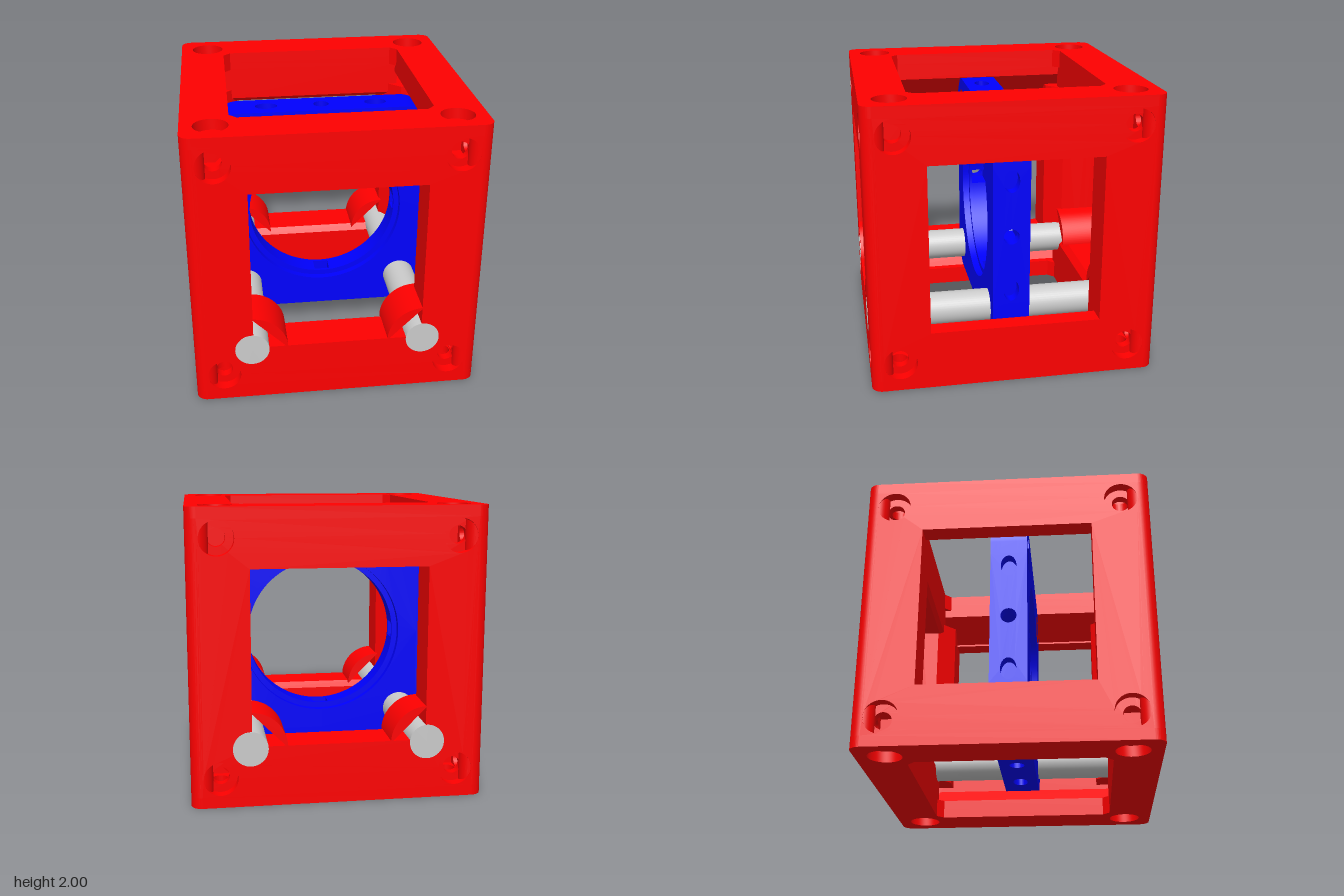
import * as THREE from 'three';
import { toCreasedNormals } from 'three/addons/utils/BufferGeometryUtils.js';

const H = Math.PI / 2;
const red = new THREE.MeshStandardMaterial({ color: 0xff0000 });
const blue = new THREE.MeshStandardMaterial({ color: 0x0000ff });
const grey = new THREE.MeshStandardMaterial({ color: 0xcccccc });

const poly = pts => new THREE.Shape(pts.map(p => new THREE.Vector2(...p)));

function ellipseHole(x, y, rx, ry = rx) {
  const p = new THREE.Path();
  p.absellipse(x, y, rx, ry, 0, Math.PI * 2, true);
  return p;
}

// Extrudes a shape from z0 to z1
function slab(shape, z0, z1) {
  const g = new THREE.ExtrudeGeometry(shape, { depth: z1 - z0, bevelEnabled: false, curveSegments: 32 });
  g.translate(0, 0, z0);
  return toCreasedNormals(g, 0.5);
}

function add(parent, name, geometry, material) {
  const m = new THREE.Mesh(geometry, material);
  m.name = name;
  parent.add(m);
  return m;
}

function roundedSquare(h, r) {
  const s = new THREE.Shape();
  const c = h - r;
  s.absarc(c, c, r, 0, H);
  s.absarc(-c, c, r, H, 2 * H);
  s.absarc(-c, -c, r, 2 * H, 3 * H);
  s.absarc(c, -c, r, 3 * H, 4 * H);
  return s;
}

// One cube face: outer layer with counterbores, inner layer with bolt holes
function facePanel(parent, name, outline, windowPts) {
  const panel = new THREE.Group();
  panel.name = name;
  for (const [part, shape, r, z0, z1] of [
    ['counterboreLayer', outline, 0.115, 0.925, 1],
    ['boltHoleLayer', poly([[-0.925, -0.925], [0.925, -0.925], [0.925, 0.925], [-0.925, 0.925]]), 0.06, 0.865, 0.925]]) {
    shape.holes.push(poly(windowPts));
    for (const x of [-0.8, 0.8]) for (const y of [-0.8, 0.8]) shape.holes.push(ellipseHole(x, y, r));
    add(panel, part, slab(shape, z0, z1), red);
  }
  parent.add(panel);
  return panel;
}

function buildFrame(parent) {
  const frame = new THREE.Group();
  frame.name = 'frame';
  parent.add(frame);

  // Four upright faces
  const sideWindow = [[-0.59, -0.585], [0.59, -0.585], [0.59, 0.6], [-0.59, 0.6]];
  ['frontPanel', 'leftPanel', 'backPanel', 'rightPanel'].forEach((name, i) => {
    const square = poly([[-0.925, -0.925], [0.925, -0.925], [0.925, 0.925], [-0.925, 0.925]]);
    facePanel(frame, name, square, sideWindow).rotation.y = i * H;
  });

  // Top and bottom faces with an octagonal opening
  const a = 0.68, b = 0.63;
  const octagon = [[a, -b], [a, b], [b, a], [-b, a], [-a, b], [-a, -b], [-b, -a], [b, -a]];
  facePanel(frame, 'topPanel', roundedSquare(1, 0.075), octagon).rotation.x = -H;
  facePanel(frame, 'bottomPanel', roundedSquare(1, 0.075), octagon).rotation.x = H;

  for (const s of [-1, 1]) for (const t of [-1, 1]) {
    const prism = pts => slab(poly(pts.map(([u, v]) => [u * s, v * t])), -0.7, 0.7);
    // Rounded upright edges and chamfered pillar cores
    add(frame, 'roundedEdge', new THREE.CylinderGeometry(0.075, 0.075, 1.85, 32, 1, true), red)
      .position.set(s * 0.925, 0, t * 0.925);
    add(frame, 'pillarCore', prism([[0.87, 0.87], [0.59, 0.87], [0.59, 0.72], [0.72, 0.59], [0.87, 0.59]]), red)
      .rotation.x = -H;
    // Rails across the front and back
    const w = t > 0 ? 0.6 : 0.585;
    add(frame, 'crossRailCore', prism([[0.87, 0.87], [0.68, 0.87], [0.68, 1.31 - 0.68], [1.31 - w, w], [0.87, w]]), red)
      .rotation.y = H;
    // Rails along the sides, cut back to clear the plate
    const k = t > 0 ? 1.48 : 1.6;
    const m = Math.max(0.68, k - 0.87);
    add(frame, 'sideRailCore', prism([[0.87, 0.87], [m, 0.87], [m, k - m], [0.87, k - 0.87]]), red);
    // Quarter-round rod bosses in the lower window corners
    const boss = new THREE.Shape();
    boss.moveTo(-s * 0.6, -0.6);
    boss.absarc(-s * 0.6, -0.6, 0.25, s > 0 ? 0 : H, s > 0 ? H : 2 * H);
    add(frame, 'rodBoss', slab(boss, t > 0 ? 0.68 : -1, t > 0 ? 1 : -0.68), red);
  }
}

// Quarter of the plate, with optional half slots for the cross bores
function plateQuarter(r, slot) {
  const a = Math.asin(slot / r);
  const s = new THREE.Shape();
  s.absarc(0, 0, r, a, H - a);
  s.lineTo(slot, 0.73);
  s.lineTo(0.5, 0.73);
  s.lineTo(0.5, 0.81);
  s.absarc(0.6, 0.6, 0.21, H, 0, true);
  s.lineTo(0.81, 0.5);
  s.lineTo(0.73, 0.5);
  s.lineTo(0.73, slot);
  s.closePath();
  s.holes.push(ellipseHole(0.6, 0.6, 0.12));
  return s;
}

function buildPlate(parent) {
  const plate = new THREE.Group();
  plate.name = 'carrierPlate';
  parent.add(plate);
  const layers = [
    ['backRecess', 0.59, 0, -0.13, -0.08], ['backBody', 0.55, 0, -0.08, -0.058],
    ['middleBody', 0.55, 0.057, -0.058, 0.058],
    ['frontBody', 0.55, 0, 0.058, 0.08], ['frontRecess', 0.59, 0, 0.08, 0.13]];
  for (let i = 0; i < 4; i++) {
    const quarter = new THREE.Group();
    quarter.name = 'plateQuarter';
    quarter.rotation.z = i * H;
    plate.add(quarter);
    for (const [name, r, slot, z0, z1] of layers) add(quarter, name, slab(plateQuarter(r, slot), z0, z1), blue);
    // Edge strip: one round cross bore and two slanted (oval) holes
    const strip = poly([[-0.5, -0.13], [0.5, -0.13], [0.5, 0.13], [-0.5, 0.13]]);
    strip.holes.push(ellipseHole(0, 0, 0.055));
    for (const x of [-0.4, 0.4]) strip.holes.push(ellipseHole(x, 0, 0.08, 0.055));
    add(quarter, 'edgeStrip', slab(strip, 0.73, 0.81), blue).rotation.x = -H;
  }
}

export function createModel() {
  const model = new THREE.Group();
  model.name = 'cageCube';
  const body = new THREE.Group();
  body.name = 'cageAssembly';
  body.position.y = 1;
  model.add(body);
  buildFrame(body);
  buildPlate(body);

  // Two guide rods, flush with the front and back
  for (const s of [-1, 1]) {
    const rod = add(body, s > 0 ? 'leftRod' : 'rightRod', new THREE.CylinderGeometry(0.119, 0.119, 2.004, 48), grey);
    rod.rotation.x = H;
    rod.position.set(s * 0.6, -0.6, 0);
  }
  return model;
}
